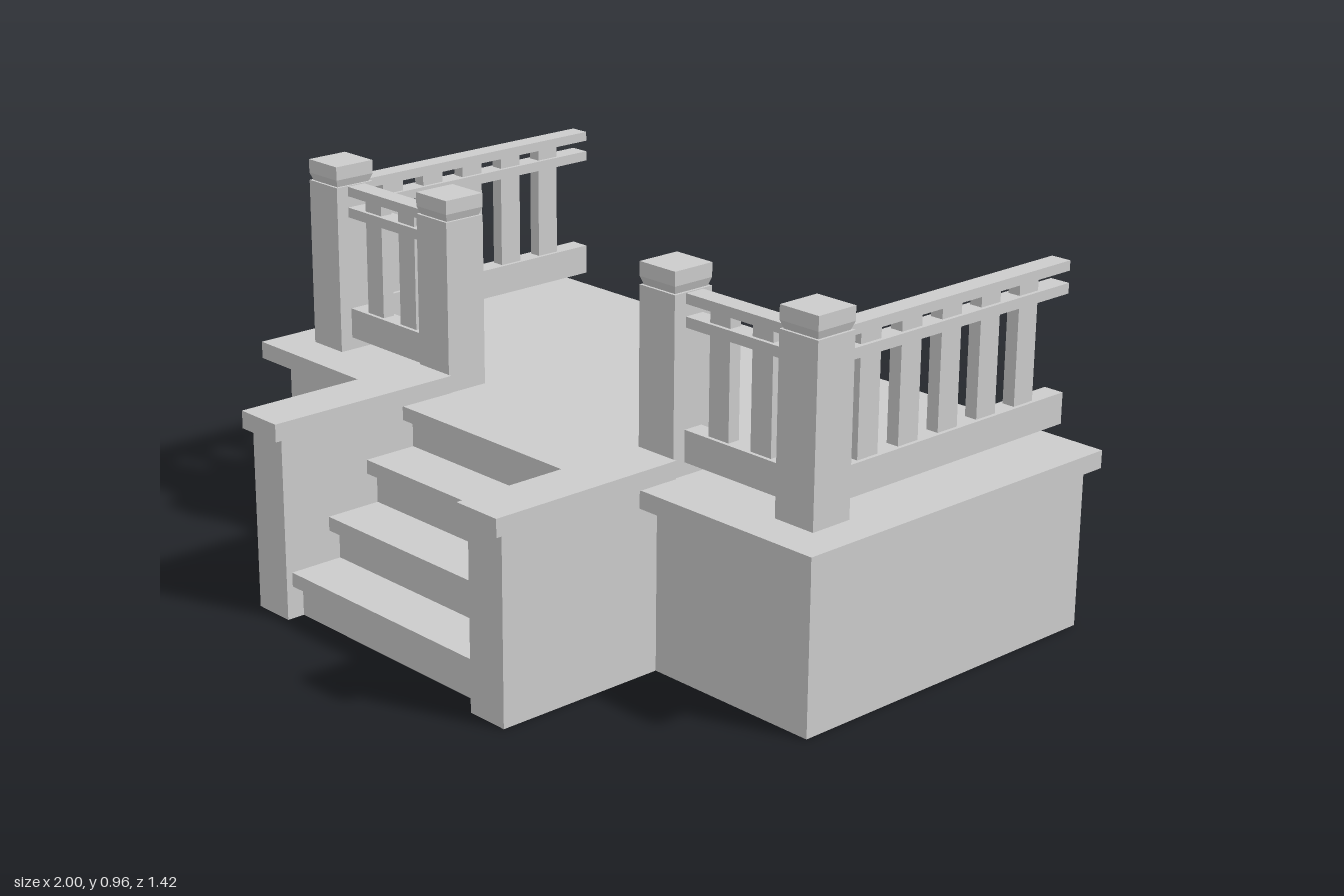
import * as THREE from 'three';

const material = new THREE.MeshStandardMaterial({ color: 0xcccccc, flatShading: true, side: THREE.DoubleSide });
const SIDES = ['+x', '-x', '+y', '-y', '+z', '-z'];

// Box given by its extents; the sides listed in "open" are left out.
function box(parent, name, [x0, x1], [y0, y1], [z0, z1], open = []) {
  const g = new THREE.BoxGeometry(Math.abs(x1 - x0), y1 - y0, z1 - z0);
  const index = Array.from(g.index.array).filter((_, i) => !open.includes(SIDES[Math.floor(i / 6)]));
  g.setIndex(index);
  g.clearGroups();
  g.translate((x0 + x1) / 2, (y0 + y1) / 2, (z0 + z1) / 2);
  return add(parent, name, g);
}

function add(parent, name, geometry) {
  const mesh = new THREE.Mesh(geometry, material);
  mesh.name = name;
  parent.add(mesh);
  return mesh;
}

// Square post with a narrow neck below its cap.
function post(parent, name, x) {
  const profile = [[0.058, 0.465], [0.058, 0.905], [0.051, 0.905], [0.058, 0.925], [0.058, 0.96], [0, 0.96]]
    .map(([r, y]) => new THREE.Vector2(r * Math.SQRT2, y));
  const g = new THREE.LatheGeometry(profile, 4, Math.PI / 4);
  g.translate(x, 0, 0.115);
  add(parent, name, g);
}

// Stepped ribbon of risers and overhanging treads.
function stairs(parent) {
  const profile = [];
  const treads = [[0.12, 0.67], [0.235, 0.555], [0.353, 0.435], [0.465, 0.32]];
  let y = 0;
  treads.forEach(([top, front]) => {
    const riser = front - 0.03;
    profile.push([y, riser], [top - 0.036, riser], [top - 0.036, front], [top, front]);
    y = top;
  });
  profile.push([0.465, 0.27]);
  const pos = [];
  for (let i = 0; i < profile.length - 1; i++) {
    const [ya, za] = profile[i], [yb, zb] = profile[i + 1];
    const a = [-0.348, ya, za], b = [0.348, ya, za], c = [0.348, yb, zb], d = [-0.348, yb, zb];
    pos.push(...a, ...b, ...c, ...a, ...c, ...d);
  }
  const g = new THREE.BufferGeometry();
  g.setAttribute('position', new THREE.Float32BufferAttribute(pos, 3));
  g.computeVertexNormals();
  add(parent, 'stairs', g);
}

export function createModel() {
  const model = new THREE.Group();
  model.name = 'porch';

  // Platform: floor slab on a skirt, open towards the house and the ground
  box(model, 'deck', [-1, 1], [0.42, 0.465], [-0.71, 0.277], ['-z']);
  box(model, 'skirt', [-0.95, 0.95], [0, 0.42], [-0.71, 0.223], ['-z', '+y', '-y']);
  stairs(model);

  for (const [s, side] of [[1, 'left'], [-1, 'right']]) {
    const half = new THREE.Group();
    half.name = side + 'Side';
    model.add(half);
    const span = (a, b) => (s > 0 ? [a, b] : [-b, -a]);

    // Stair cheek wall and its coping
    box(half, 'cheekWall', span(0.348, 0.463), [0, 0.468], [0.223, 0.687], ['-z', '-y', '+y']);
    box(half, 'cheekCoping', span(0.338, 0.473), [0.468, 0.513], [0.173, 0.71]);

    // Posts
    post(half, 'stairPost', s * 0.405);
    post(half, 'cornerPost', s * 0.847);

    // Rails: [name, bottom, top]
    const rails = [['bottomRail', 0.498, 0.577], ['middleRail', 0.822, 0.848], ['topRail', 0.878, 0.903]];
    for (const [name, y0, y1] of rails) {
      box(half, 'front' + name, span(0.463, 0.789), [y0, y1], [0.085, 0.138], ['+x', '-x']);
      box(half, 'side' + name, span(0.82, 0.874), [y0, y1], [-0.71, 0.057], ['+z', '-z']);
    }

    // Balusters
    for (const x of [0.563, 0.697])
      box(half, 'frontBaluster', span(x - 0.032, x + 0.032), [0.577, 0.878], [0.095, 0.128], ['+y', '-y']);
    for (let i = 0; i < 5; i++) {
      const z = -0.04 - i * 0.134;
      box(half, 'sideBaluster', span(0.83, 0.864), [0.577, 0.878], [z - 0.033, z + 0.033], ['+y', '-y']);
    }
  }
  return model;
}
